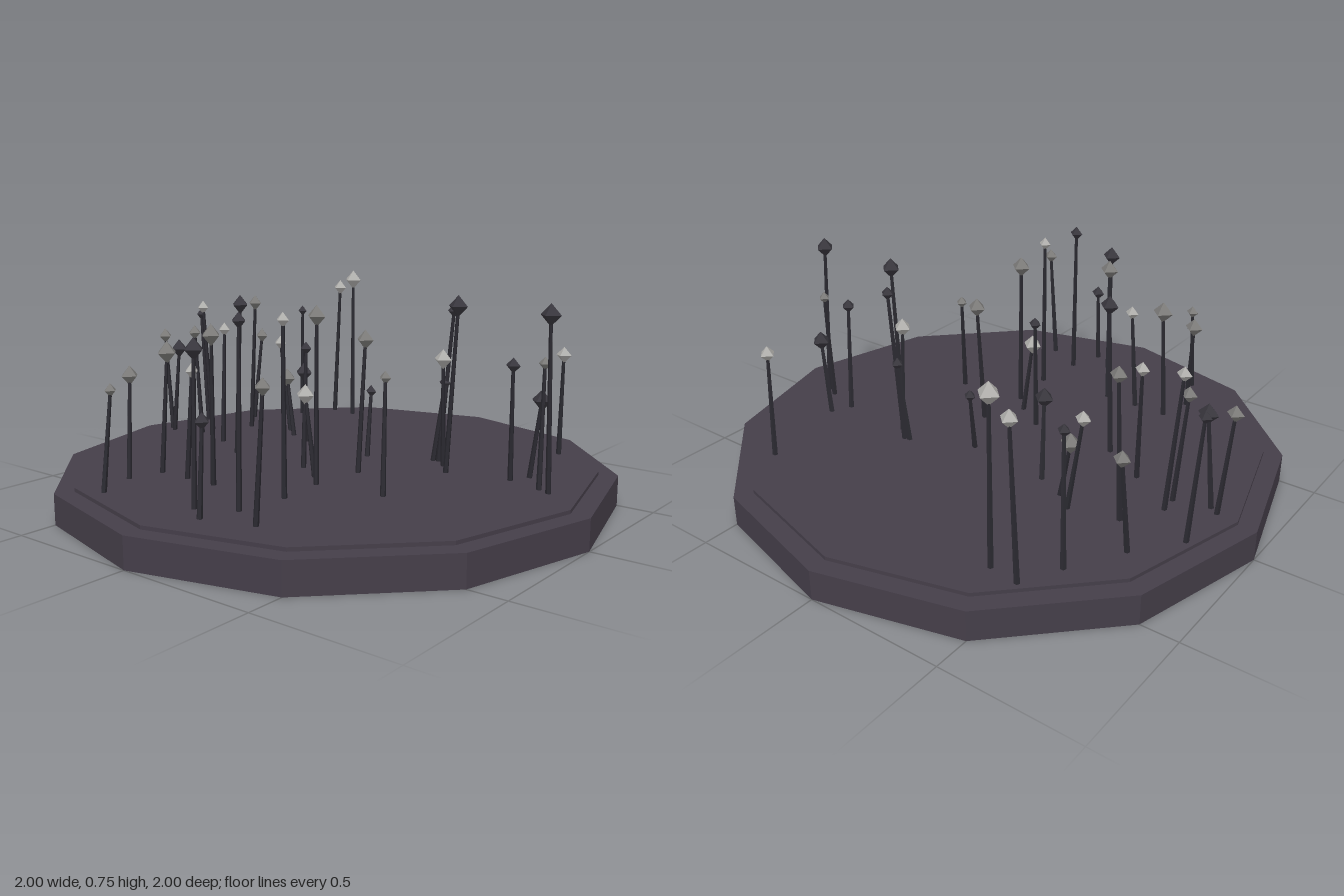
import * as THREE from 'three';

const mat = (name, color) => {
  const m = new THREE.MeshStandardMaterial({ color, flatShading: true });
  m.name = name;
  return m;
};

// Each row: head x, y, z, head radius, then the foot's offset in x and z
const darkPins = [
  [-0.59, 0.575, -0.515, 0.022, -0.03, -0.03],
  [-0.875, 0.57, -0.195, 0.023, 0.025, -0.005],
  [-0.245, 0.405, -0.115, 0.037, -0.03, -0.05],
  [0.025, 0.355, -0.18, 0.023, 0.02, 0.05],
  [0.315, 0.415, -0.23, 0.024, -0.045, 0],
  [0.35, 0.675, -0.225, 0.025, -0.06, -0.01],
  [0.445, 0.71, -0.1, 0.037, -0.05, -0.02],
  [0.7, 0.4, -0.23, 0.037, -0.045, -0.015],
  [0.64, 0.525, -0.135, 0.027, -0.02, -0.04],
  [0.795, 0.71, -0.085, 0.037, 0, -0.03],
  [-0.785, 0.46, 0.02, 0.037, -0.04, 0],
  [-0.335, 0.68, 0.135, 0.035, -0.03, 0],
  [-0.045, 0.545, 0.11, 0.024, 0.01, 0.03],
  [0.12, 0.71, 0.62, 0.027, 0.015, 0.03],
  [0, 0.62, 0.695, 0.037, 0.01, 0.025],
  [0.095, 0.42, 0.76, 0.028, 0, 0.02],
];
const greyPins = [
  [-0.72, 0.47, -0.4, 0.03, -0.01, 0.045],
  [-0.43, 0.345, -0.23, 0.038, 0.05, 0.02],
  [-0.59, 0.635, -0.22, 0.031, -0.03, 0],
  [0.745, 0.54, -0.155, 0.023, 0.005, 0.02],
  [-0.885, 0.5, 0, 0.03, 0.03, 0],
  [-0.73, 0.525, -0.015, 0.029, 0.03, 0],
  [0.155, 0.585, 0.03, 0.035, 0, 0.04],
  [0.115, 0.685, 0.245, 0.037, 0.02, 0.03],
  [0.36, 0.5, 0.195, 0.023, 0.03, 0.05],
  [-0.36, 0.545, 0.475, 0.04, -0.02, 0.02],
  [-0.095, 0.635, 0.525, 0.037, -0.035, -0.03],
  [-0.44, 0.47, 0.575, 0.035, 0.03, 0.045],
  [0.31, 0.545, 0.725, 0.029, -0.035, 0],
  [-0.35, 0.455, 0.735, 0.024, 0, 0.045],
];
const lightPins = [
  [-0.52, 0.665, -0.685, 0.031, -0.03, 0],
  [-0.43, 0.705, -0.66, 0.039, -0.01, -0.01],
  [-0.5, 0.475, -0.27, 0.029, 0.055, 0.005],
  [0.36, 0.515, -0.145, 0.035, -0.02, -0.045],
  [0.605, 0.5, -0.57, 0.03, -0.02, -0.03],
  [-0.735, 0.62, -0.07, 0.027, 0.03, -0.01],
  [-0.55, 0.555, 0, 0.027, 0.02, 0.04],
  [0.035, 0.405, 0.21, 0.037, 0.04, 0],
  [-0.22, 0.5, 0.495, 0.027, -0.035, 0],
  [0.165, 0.7, 0.47, 0.025, -0.01, -0.01],
];

export function createModel() {
  const model = new THREE.Group();
  const plumStone = mat('plum stone', 0x453e49);
  const stemBlack = mat('stem black', 0x2b2a31);
  const charcoal = mat('charcoal', 0x38363d);
  const midGrey = mat('mid grey', 0x7c7b79);
  const paleGrey = mat('pale grey', 0xb0afac);

  const add = (parent, name, geometry, material) => {
    const mesh = new THREE.Mesh(geometry, material);
    mesh.name = name;
    parent.add(mesh);
    return mesh;
  };

  // Twelve-sided base with a slightly raised inner plate
  add(model, 'base', new THREE.CylinderGeometry(1, 1, 0.108, 12), plumStone).position.y = 0.054;
  add(model, 'topPlate', new THREE.CylinderGeometry(0.932, 0.932, 0.02, 12), plumStone).position.y = 0.111;

  // Leaning pins: a thin tapered stem topped with an octahedral head
  const up = new THREE.Vector3(0, 1, 0);
  const headGeometry = new THREE.OctahedronGeometry(1);
  const addPins = (groupName, rows, headMaterial) => {
    const group = new THREE.Group();
    group.name = groupName;
    for (const [x, y, z, r, dx, dz] of rows) {
      const head = new THREE.Vector3(x, y, z);
      const foot = new THREE.Vector3(x + dx, 0.115, z + dz);
      const axis = head.clone().sub(foot);
      const stem = add(group, 'stem', new THREE.CylinderGeometry(0.006, 0.01, axis.length(), 5), stemBlack);
      stem.position.copy(foot).add(head).multiplyScalar(0.5);
      stem.quaternion.setFromUnitVectors(up, axis.normalize());
      const tip = add(group, 'head', headGeometry, headMaterial);
      tip.position.copy(head);
      tip.scale.setScalar(r);
    }
    model.add(group);
  };
  addPins('darkPins', darkPins, charcoal);
  addPins('greyPins', greyPins, midGrey);
  addPins('lightPins', lightPins, paleGrey);

  return model;
}
